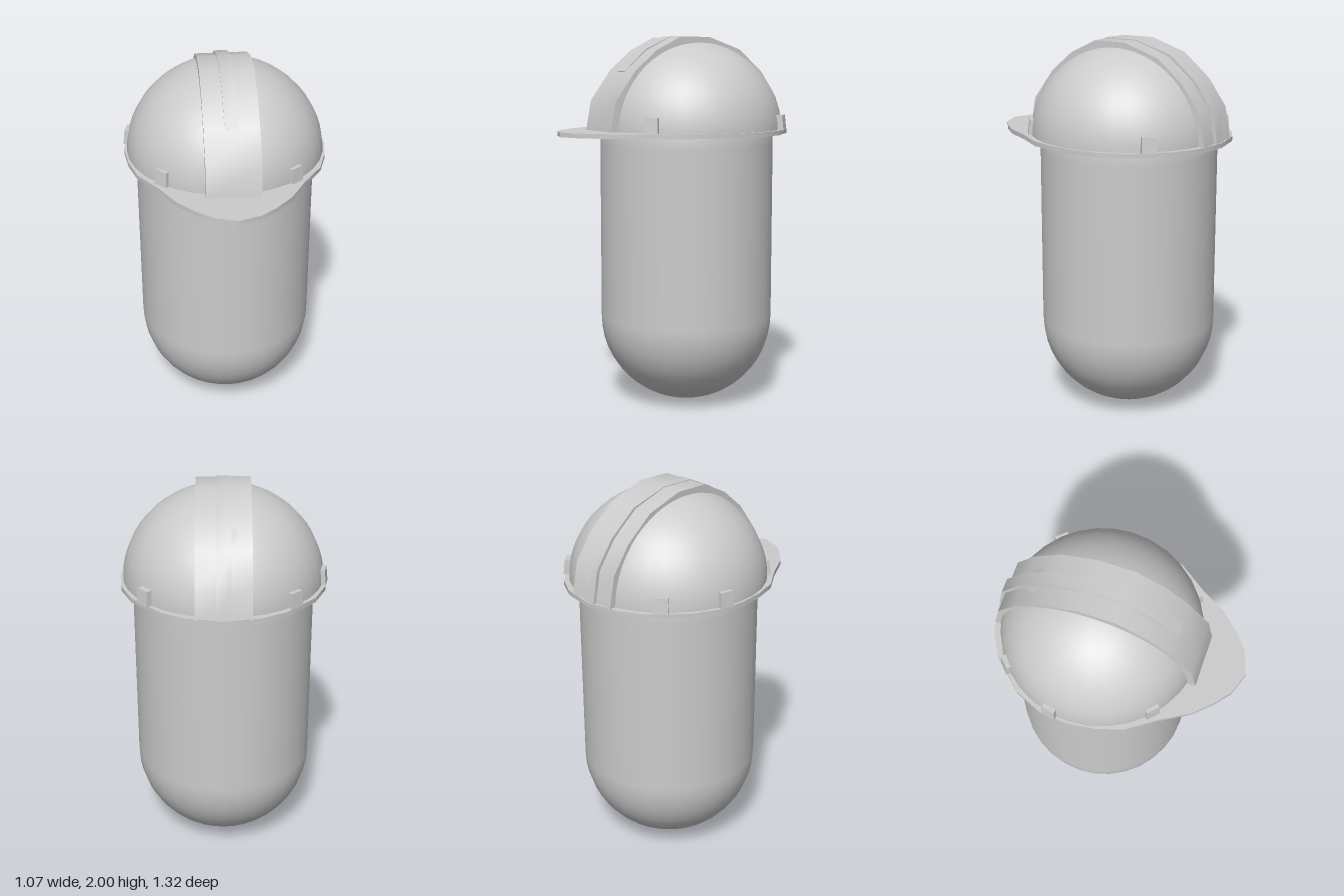
import * as THREE from 'three';
import { toCreasedNormals } from 'three/addons/utils/BufferGeometryUtils.js';

const CZ = -0.105; // z of the body and helmet axis
const RIM = 1.495; // height of the helmet rim
const material = new THREE.MeshStandardMaterial({ color: 0xcccccc });
const shellMaterial = new THREE.MeshStandardMaterial({ color: 0xcccccc, side: THREE.DoubleSide });

function addMesh(parent, name, geometry, mat = material) {
  const mesh = new THREE.Mesh(geometry, mat);
  mesh.name = name;
  parent.add(mesh);
  return mesh;
}

const toShape = (points) => new THREE.Shape(points.map(([a, b]) => new THREE.Vector2(a, b)));

// Strip over the dome: a (z, y) outline closed inside the dome, extruded across x
function stripGeometry(outer, inner, width) {
  const geometry = new THREE.ExtrudeGeometry(toShape([...outer, ...inner]), { depth: width, bevelEnabled: false });
  geometry.translate(0, 0, -width / 2).rotateY(-Math.PI / 2);
  return toCreasedNormals(geometry, 0.6);
}

export function createModel() {
  const group = new THREE.Group();

  // Capsule body
  const body = addMesh(group, 'body', new THREE.CapsuleGeometry(0.472, 0.95, 12, 32));
  body.position.set(0, 0.95, CZ);

  const helmet = new THREE.Group();
  helmet.name = 'helmet';
  group.add(helmet);

  // Dome
  const dome = addMesh(helmet, 'dome', new THREE.SphereGeometry(1, 32, 14, 0, Math.PI * 2, 0, Math.PI / 2), shellMaterial);
  dome.scale.set(0.521, 0.49, 0.518);
  dome.position.set(0, RIM, CZ);

  // Brim with a pointed visor, half outline mirrored over x
  const half = [
    [0, -0.66], [0.188, -0.623], [0.31, -0.556], [0.46, -0.395], [0.52, -0.255], [0.534, -0.11], [0.515, 0.035],
    [0.473, 0.17], [0.37, 0.315], [0.285, 0.46], [0.195, 0.555], [0.118, 0.617], [0, 0.657],
  ];
  const mirrored = half.slice(1, -1).reverse().map(([x, z]) => [-x, z]);
  const brimShape = toShape([...half, ...mirrored]);
  brimShape.holes.push(new THREE.Path().absarc(0, CZ, 0.455, 0, Math.PI * 2, true));
  const brimGeometry = new THREE.ExtrudeGeometry(brimShape, { depth: 0.024, bevelEnabled: false, curveSegments: 24 });
  brimGeometry.rotateX(Math.PI / 2);
  addMesh(helmet, 'brim', toCreasedNormals(brimGeometry, 0.6)).position.y = 1.506;

  // Wide band running front to back
  const wide = [
    [0.437, 1.5], [0.408, 1.66], [0.29, 1.82], [0.165, 1.925], [0.02, 1.996], [-0.165, 1.996],
    [-0.36, 1.93], [-0.505, 1.808], [-0.603, 1.67], [-0.636, 1.5],
  ];
  const inside = [[-0.55, 1.5], [-0.4, 1.75], [-0.105, 1.9], [0.19, 1.75], [0.35, 1.5]];
  addMesh(helmet, 'wideBand', stripGeometry(wide, inside, 0.28));

  // Narrow central ridge, fading out above the visor
  const narrow = [
    [0.3, 1.815], [0.17, 1.932], [0.02, 2], [-0.165, 2], [-0.372, 1.938],
    [-0.523, 1.812], [-0.622, 1.672], [-0.652, 1.5],
  ];
  addMesh(helmet, 'narrowRidge', stripGeometry(narrow, inside.slice(0, 4), 0.072));

  // Clips around the rim, tapered towards the top
  const clipGeometry = new THREE.BoxGeometry(0.076, 0.08, 0.04);
  const p = clipGeometry.attributes.position;
  for (let i = 0; i < p.count; i++) {
    if (p.getY(i) > 0) p.setXYZ(i, p.getX(i) * 0.92, p.getY(i), p.getZ(i) - 0.008);
  }
  clipGeometry.computeVertexNormals();
  const clips = [[-0.35, -0.49], [0.39, -0.46], [-0.51, -0.205], [-0.347, 0.275], [0.322, 0.298]];
  clips.forEach(([x, z], i) => {
    const clip = addMesh(helmet, `clip${i + 1}`, clipGeometry);
    clip.position.set(x, 1.545, z);
    clip.rotation.y = Math.atan2(x, z - CZ);
  });

  return group;
}
